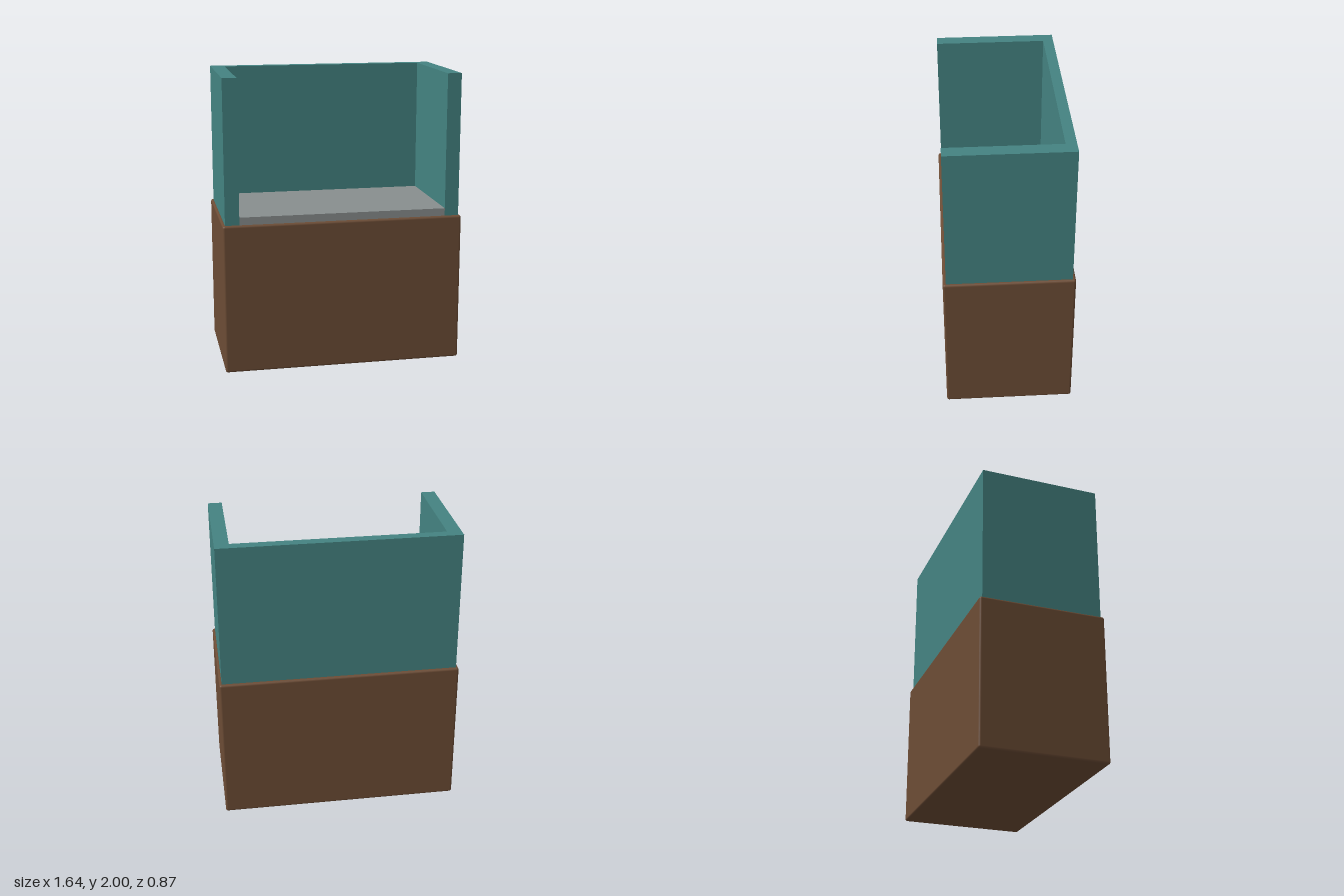
import * as THREE from 'three';
import { RoundedBoxGeometry } from 'three/addons/geometries/RoundedBoxGeometry.js';

export function createModel() {
  const model = new THREE.Group();
  model.name = 'boothOnPlinth';

  const material = (name, color) => {
    const m = new THREE.MeshStandardMaterial({ color });
    m.name = name;
    return m;
  };
  const brown = material('brown', 0x6c4c35);
  const teal = material('teal', 0x448381);
  const grey = material('grey', 0x888e8e);

  const add = (name, geometry, mat, x, y, z) => {
    const mesh = new THREE.Mesh(geometry, mat);
    mesh.name = name;
    mesh.position.set(x, y, z);
    model.add(mesh);
  };

  // Solid base with softly rounded edges
  const baseTop = 1.025;
  add('base', new RoundedBoxGeometry(1.64, baseTop, 0.87, 3, 0.015), brown, 0, baseTop / 2, 0);

  // Three walls as one U-shaped extrusion, open to the front (shape y is -z)
  const outerX = 0.803, innerX = 0.707, halfZ = 0.414, innerBack = 0.343;
  const plan = new THREE.Shape([
    [-outerX, -halfZ], [-innerX, -halfZ], [-innerX, innerBack], [innerX, innerBack],
    [innerX, -halfZ], [outerX, -halfZ], [outerX, halfZ], [-outerX, halfZ],
  ].map(([x, y]) => new THREE.Vector2(x, y)));
  const wallBottom = baseTop - 0.01;
  const walls = new THREE.ExtrudeGeometry(plan, { depth: 2 - wallBottom, bevelEnabled: false });
  walls.rotateX(-Math.PI / 2);
  add('walls', walls, teal, 0, wallBottom, 0);

  // Floor slab between the walls
  const floorTop = 1.077, floorBottom = baseTop - 0.01;
  add('floor', new THREE.BoxGeometry(innerX * 2, floorTop - floorBottom, halfZ + innerBack),
    grey, 0, (floorTop + floorBottom) / 2, (halfZ - innerBack) / 2);

  return model;
}
